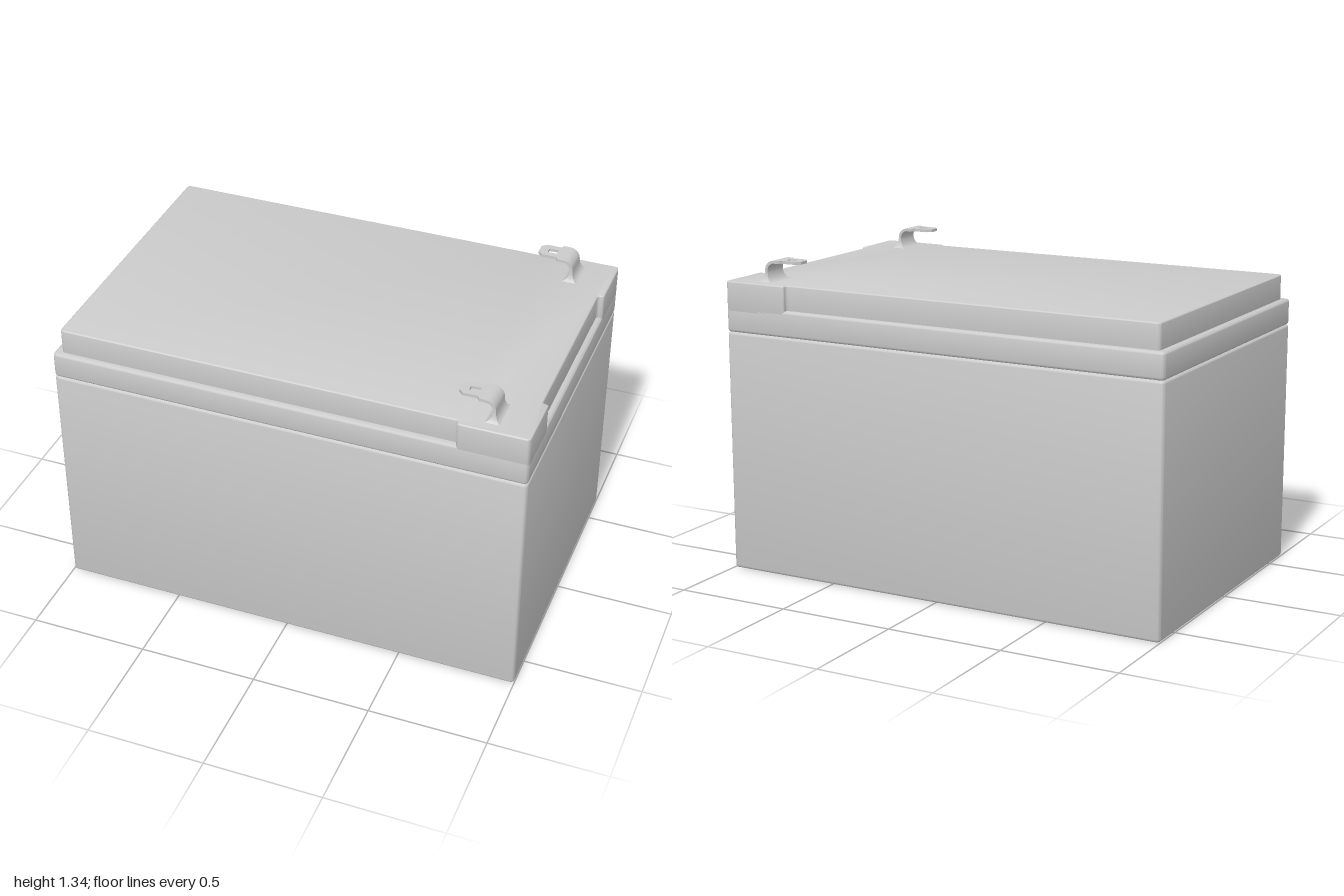
import * as THREE from 'three';
import { toCreasedNormals } from 'three/addons/utils/BufferGeometryUtils.js';

const material = new THREE.MeshStandardMaterial({ color: 0xcccccc });

// Closed outline with every corner softened, limited by its shorter edge
function softOutline(points, radius) {
  const pts = points.map(([x, y]) => new THREE.Vector2(x, y));
  const shape = new THREE.Shape();
  pts.forEach((p, i) => {
    const prev = pts[(i + pts.length - 1) % pts.length];
    const next = pts[(i + 1) % pts.length];
    const r = Math.min(radius, 0.48 * p.distanceTo(prev), 0.48 * p.distanceTo(next));
    const a = p.clone().add(prev.clone().sub(p).setLength(r));
    const b = p.clone().add(next.clone().sub(p).setLength(r));
    if (i === 0) shape.moveTo(a.x, a.y);
    else shape.lineTo(a.x, a.y);
    shape.quadraticCurveTo(p.x, p.y, b.x, b.y);
  });
  shape.closePath();
  return shape;
}

// Horizontal slab from y0 to y1 with rounded rims
function slab(name, shape, y0, y1, bevel) {
  const geo = new THREE.ExtrudeGeometry(shape, {
    depth: y1 - y0 - 2 * bevel,
    bevelEnabled: bevel > 0,
    bevelSize: bevel,
    bevelThickness: bevel,
    bevelOffset: -bevel,
    bevelSegments: 3,
    curveSegments: 5,
  });
  geo.rotateX(-Math.PI / 2).translate(0, y0 + bevel, 0);
  const mesh = new THREE.Mesh(toCreasedNormals(geo, 0.7), material);
  mesh.name = name;
  return mesh;
}

// Rectangular tube through sections { x, y, nx, ny, half, width }
function loft(name, sections) {
  const rings = sections.map(({ x, y, nx, ny, half, width }) =>
    [[1, 1], [1, -1], [-1, -1], [-1, 1]].map(([s, w]) =>
      [x + s * nx * half, y + s * ny * half, w * width]));
  const pos = [];
  for (let i = 0; i < rings.length - 1; i++) {
    for (let j = 0; j < 4; j++) {
      const k = (j + 1) % 4;
      const a = rings[i][j], b = rings[i + 1][j], c = rings[i + 1][k], d = rings[i][k];
      pos.push(...a, ...b, ...c, ...a, ...c, ...d);
    }
  }
  const geo = new THREE.BufferGeometry();
  geo.setAttribute('position', new THREE.Float32BufferAttribute(pos, 3));
  const mesh = new THREE.Mesh(toCreasedNormals(geo, 0.7), material);
  mesh.name = name;
  return mesh;
}

// Bent contact: slotted flat tab, curved neck and flared foot
function makeTerminal() {
  const terminal = new THREE.Group();
  const tab = new THREE.Shape([
    [0.80, -0.055], [0.80, 0.055], [0.775, 0.055], [0.765, 0.04], [0.705, 0.04],
    [0.685, 0.022], [0.685, -0.022], [0.705, -0.04], [0.765, -0.04], [0.775, -0.055],
  ].map(([x, y]) => new THREE.Vector2(x, y)));
  tab.holes.push(softOutline([[0.722, -0.014], [0.722, 0.014], [0.763, 0.014], [0.763, -0.014]], 0.006));
  terminal.add(slab('terminalTab', tab, 1.323, 1.335, 0));

  const sections = [];
  for (let i = 0; i <= 8; i++) {
    const a = (i / 8) * Math.PI / 2;
    const nx = Math.sin(a), ny = Math.cos(a);
    sections.push({ x: 0.80 + 0.0375 * nx, y: 1.2915 + 0.0375 * ny, nx, ny, half: 0.006, width: 0.055 });
  }
  for (let i = 1; i <= 8; i++) {
    const t = i / 8;
    const flare = 1 - Math.sqrt(1 - t * t * 0.98);
    sections.push({
      x: 0.8375 - 0.004 * flare, y: 1.2915 - 0.0485 * t, nx: 1, ny: 0,
      half: 0.006 + 0.031 * flare, width: 0.055 + 0.024 * flare,
    });
  }
  terminal.add(loft('terminalNeck', sections));
  return terminal;
}

export function createModel() {
  const model = new THREE.Group();
  model.name = 'battery';
  const W = 1, D = 0.645;

  // Case and lower lid share one footprint and meet in a groove
  const footprint = softOutline([[-W, -D], [W, -D], [W, D], [-W, D]], 0.02);
  model.add(slab('case', footprint, 0, 1.03, 0.012));
  model.add(slab('lidRim', footprint, 1.03, 1.14, 0.012));

  // Raised lid: inset on three sides, flush at the terminal corners
  const inset = 0.62;
  const lid = softOutline([
    [-0.97, -inset], [0.71, -inset], [0.71, -D], [W, -D], [W, -0.4], [0.975, -0.4],
    [0.975, 0.4], [W, 0.4], [W, D], [0.71, D], [0.71, inset], [-0.97, inset],
  ], 0.02);
  model.add(slab('lidTop', lid, 1.115, 1.245, 0.006));

  // Pair of terminals
  for (const side of [1, -1]) {
    const terminal = makeTerminal();
    terminal.name = side > 0 ? 'frontTerminal' : 'backTerminal';
    terminal.position.z = side * 0.525;
    model.add(terminal);
  }
  return model;
}
